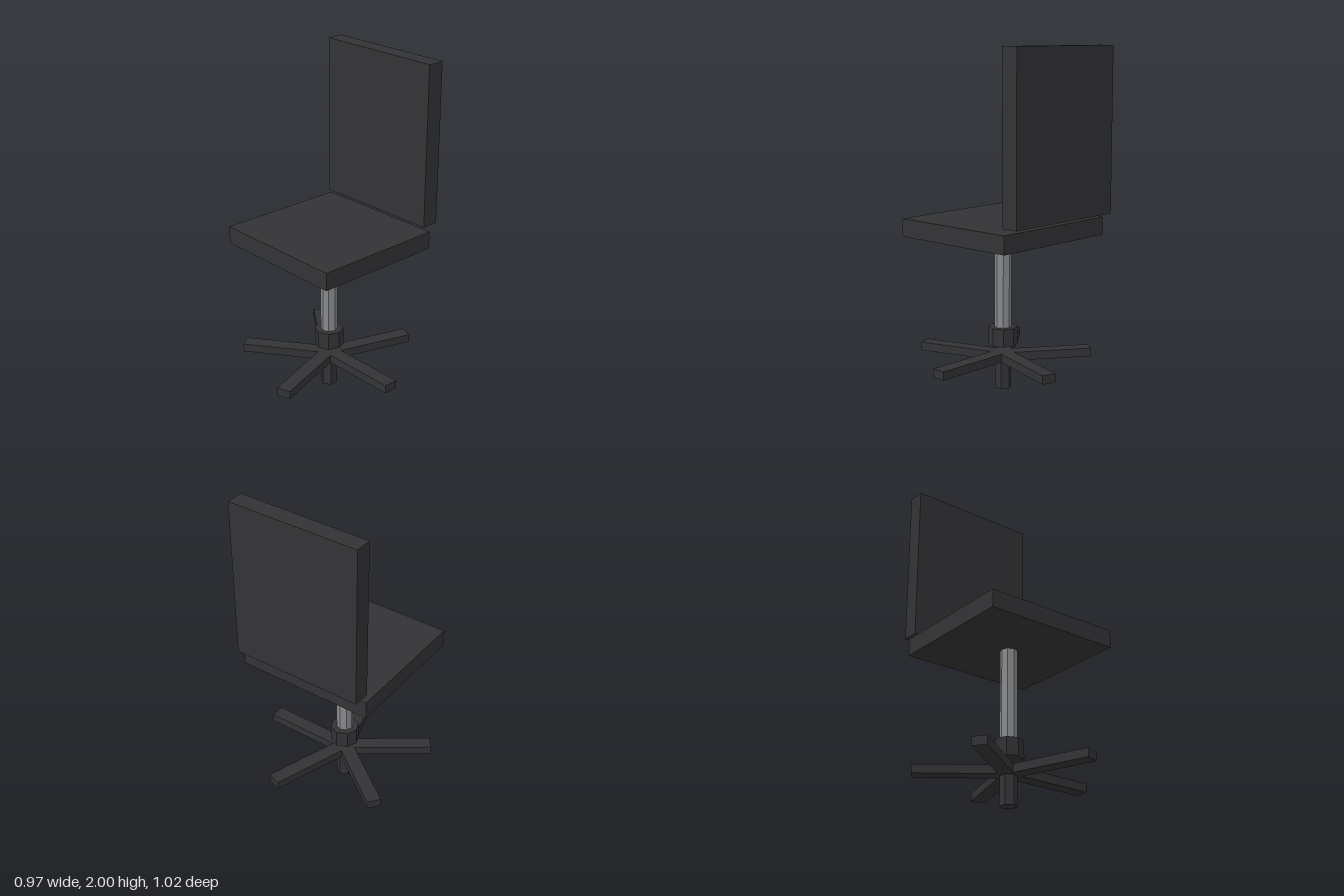
import * as THREE from 'three';

export function createModel() {
  const chair = new THREE.Group();
  chair.name = 'officeChair';
  const dark = new THREE.MeshStandardMaterial({ color: 0x333336, flatShading: true });
  const metal = new THREE.MeshStandardMaterial({ color: 0x888a8c, flatShading: true });
  const axisX = -0.04; // the column stands slightly off centre

  const add = (name, geometry, material, y, z = 0, parent = chair) => {
    const mesh = new THREE.Mesh(geometry, material);
    mesh.name = name;
    mesh.position.set(parent === chair ? axisX : 0, y, z);
    parent.add(mesh);
    return mesh;
  };
  // upright prism between two heights
  const post = (name, radius, y0, y1, sides, material) =>
    add(name, new THREE.CylinderGeometry(radius, radius, y1 - y0, sides), material, (y0 + y1) / 2);

  // cushions
  add('seat', new THREE.BoxGeometry(0.836, 0.105, 0.8), dark, 0.9625);
  add('backrest', new THREE.BoxGeometry(0.802, 0.955, 0.103), dark, 1.5225, -0.419);

  // central column
  post('gasLift', 0.05, 0.37, 0.91, 8, metal);
  post('collar', 0.086, 0.265, 0.37, 8, dark);
  post('hub', 0.05, 0, 0.17, 6, dark);

  // five-legged star base
  const base = new THREE.Group();
  base.name = 'starBase';
  base.position.set(axisX, 0.195, 0);
  chair.add(base);
  const legGeometry = new THREE.BoxGeometry(0.525, 0.05, 0.085).translate(0.2625, 0, 0);
  for (let i = 0; i < 5; i++) {
    add('leg' + (i + 1), legGeometry, dark, 0, 0, base).rotation.y = (i * Math.PI * 2) / 5;
  }
  return chair;
}
